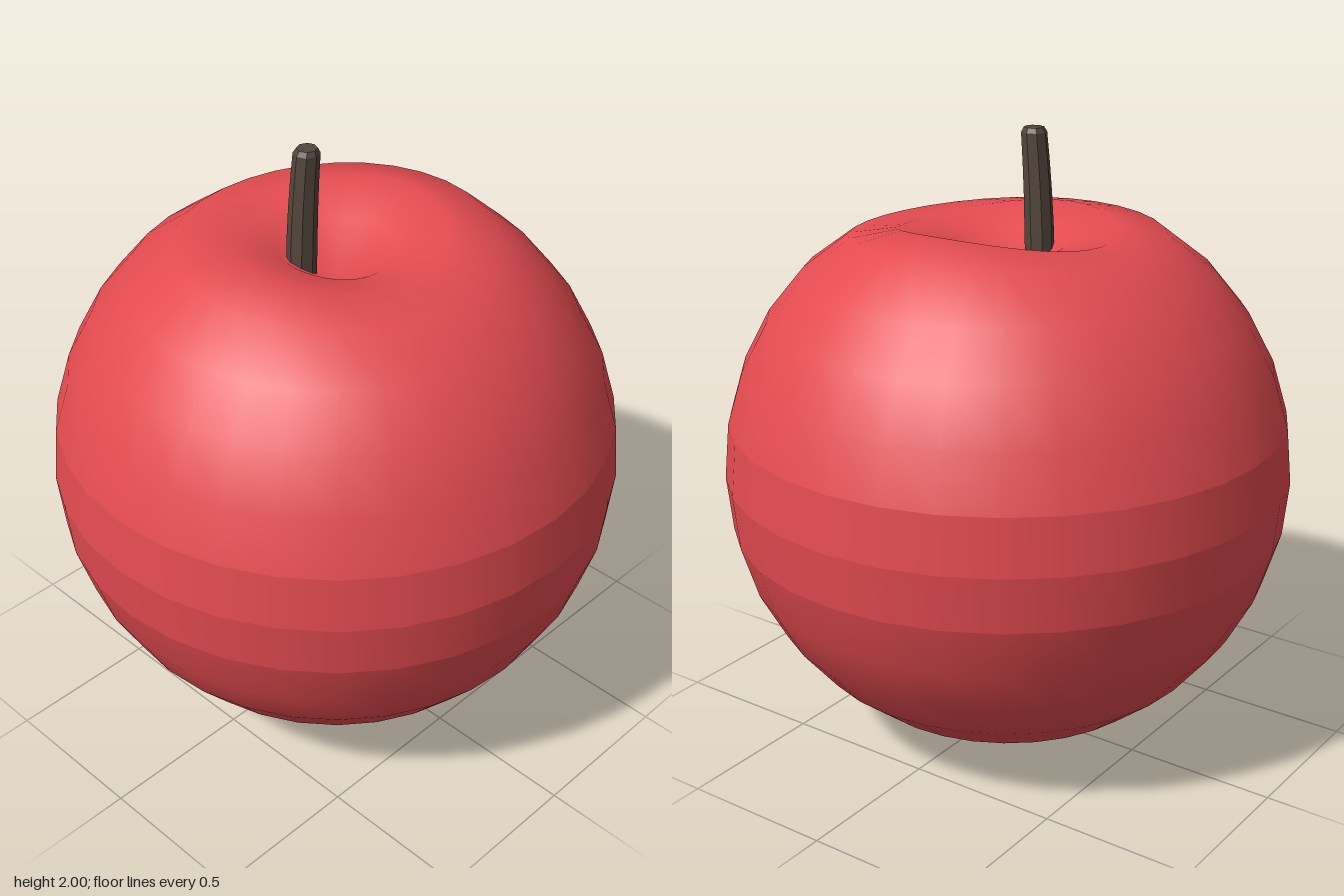
import * as THREE from 'three';
import { mergeVertices } from 'three/addons/utils/BufferGeometryUtils.js';

const R = 0.915;    // body radius, also the height of its centre
const RINGS = 16, SIDES = 32;

// Profile point of the round body, ring 0 at the bottom
const ring = (i) => {
  const a = (i / RINGS) * Math.PI;
  return new THREE.Vector2(i === 0 ? 0 : R * Math.sin(a), R - R * Math.cos(a));
};

const rings = (from, to) => {
  const points = [];
  for (let i = from; i <= to; i++) points.push(ring(i));
  return points;
};

// Move vertices by a rule, then weld and smooth
function reshape(geometry, rule) {
  const p = geometry.attributes.position, v = new THREE.Vector3();
  for (let i = 0; i < p.count; i++) {
    rule(v.fromBufferAttribute(p, i));
    p.setXYZ(i, v.x, v.y, v.z);
  }
  geometry.deleteAttribute('uv');
  geometry.deleteAttribute('normal');
  const welded = mergeVertices(geometry);
  welded.computeVertexNormals();
  return welded;
}

export function createModel() {
  const group = new THREE.Group();
  const skin = new THREE.MeshStandardMaterial({ color: 0xe34b50 });
  const bark = new THREE.MeshStandardMaterial({ color: 0x54463c, flatShading: true });
  const add = (name, geometry, material) => {
    const mesh = new THREE.Mesh(geometry, material);
    mesh.name = name;
    group.add(mesh);
  };

  // Lower body and two straight-sided bands around the middle
  add('lowerBody', new THREE.LatheGeometry(rings(0, 7), SIDES), skin);
  add('lowerBand', new THREE.LatheGeometry(rings(7, 8), SIDES), skin);
  add('upperBand', new THREE.LatheGeometry(rings(8, 9), SIDES), skin);

  // Upper body: shoulders, an uneven rim and a hollow for the stem
  const top = [
    ...rings(9, 12),
    new THREE.Vector2(0.5, 1.677),
    new THREE.Vector2(0.345, 1.7),
    new THREE.Vector2(0.18, 1.65),
    new THREE.Vector2(0, 1.53),
  ];
  const upper = reshape(new THREE.LatheGeometry(top, SIDES), (v) => {
    const r = Math.hypot(v.x, v.z);
    if (v.y < 1.5 || r < 0.01) return;
    const wave = Math.max(0, 1 - Math.abs(r - 0.345) / 0.3); // strongest on the rim
    const across = (v.z * v.z - v.x * v.x) / (r * r);
    v.y += wave * (0.022 * across - (0.008 * v.z) / r - (0.004 * v.x) / r);
  });
  add('upperBody', upper, skin);

  // Stem: eight-sided, slightly tapered and bent
  const stemProfile = [
    [0, 1.5], [0.046, 1.5], [0.047, 1.68], [0.045, 1.79],
    [0.043, 1.89], [0.041, 1.985], [0.032, 2], [0, 2],
  ].map(([x, y]) => new THREE.Vector2(x, y));
  const stem = reshape(new THREE.LatheGeometry(stemProfile, 8), (v) => {
    const t = (v.y - 1.5) / 0.5;
    v.x += -0.057 + 0.018 * t * t;
    v.z += 0.092 - 0.012 * t * t;
  });
  add('stem', stem, bark);

  return group;
}
